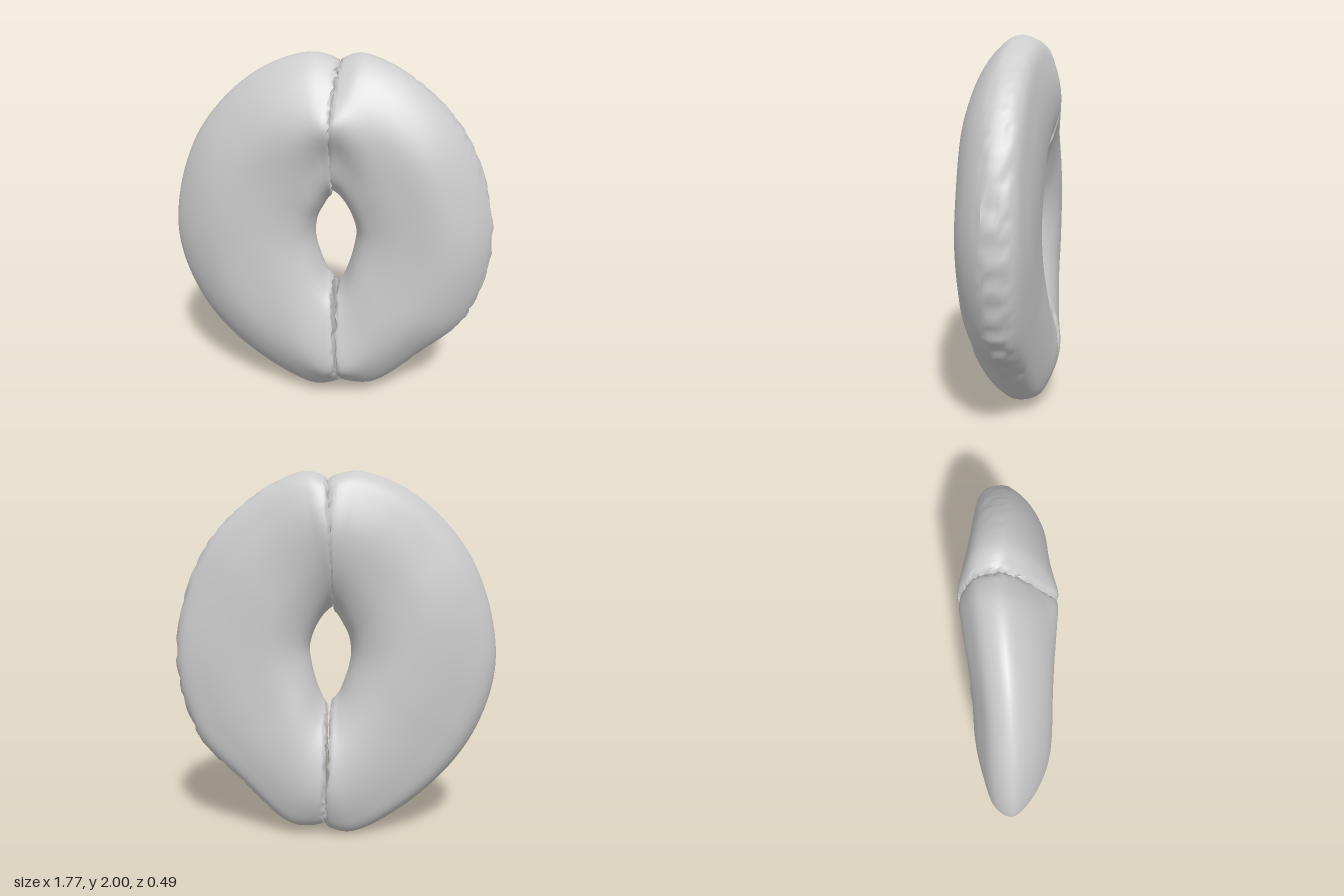
import * as THREE from 'three';
import { toCreasedNormals } from 'three/addons/utils/BufferGeometryUtils.js';

const path = (pts) => new THREE.CatmullRomCurve3(pts.map(([x, y]) => new THREE.Vector3(x, y, 0)));
const loop = (pts) => new THREE.CatmullRomCurve3(pts.map(([u, z]) => new THREE.Vector3(u, z, 0)), true);

// Cross-sections from hole edge over the front to the rim and round the back: [inner-to-outer, z]
const midSection = loop([[0, 0], [0.06, 0.11], [0.22, 0.175], [0.45, 0.2], [0.68, 0.185], [0.9, 0.09],
  [1, -0.01], [0.94, -0.095], [0.75, -0.155], [0.48, -0.195], [0.22, -0.18], [0.05, -0.1]]);
const blockySection = loop([[0, 0], [0.06, 0.11], [0.22, 0.175], [0.45, 0.2], [0.7, 0.19], [0.91, 0.1],
  [1, -0.0], [0.97, -0.115], [0.78, -0.17], [0.48, -0.195], [0.22, -0.18], [0.05, -0.1]]);
const topSection = loop([[0, 0], [0.1, 0.11], [0.34, 0.17], [0.57, 0.235], [0.74, 0.16], [0.93, 0.04],
  [1, -0.05], [0.95, -0.15], [0.8, -0.21], [0.57, -0.242], [0.3, -0.2], [0.08, -0.1]]);
const bottomSection = loop([[0, 0], [0.1, 0.12], [0.36, 0.2], [0.68, 0.228], [0.82, 0.15], [0.95, 0.04],
  [1, -0.05], [0.97, -0.15], [0.85, -0.21], [0.62, -0.245], [0.3, -0.2], [0.08, -0.1]]);

const hash = (a, b) => {
  const v = Math.sin(a * 12.9898 + b * 78.233) * 43758.5453;
  return v - Math.floor(v);
};

// One half ring, swept from the top seam to the bottom seam
function halfRing(name, inner, outer, section, side, rough) {
  const rings = 110, around = 72;
  const inCurve = path(inner), outCurve = path(outer);
  const pos = [], idx = [];
  for (let i = 0; i <= rings; i++) {
    const s = i / rings;
    const a = inCurve.getPoint(s), b = outCurve.getPoint(s);
    const w = THREE.MathUtils.smoothstep(Math.abs(s - 0.5) * 2, 0.3, 0.95);
    const endSection = s < 0.5 ? topSection : bottomSection;
    // Rounded shoulder where the halves meet
    const d = Math.min(1, Math.min(s, 1 - s) / 0.035);
    const shrink = 1 - 0.07 * (1 - Math.sqrt(1 - (1 - d) ** 2));
    for (let j = 0; j < around; j++) {
      const t = j / around;
      const p = section.getPoint(t).lerp(endSection.getPoint(t), w);
      const u = 0.5 + (p.x - 0.5) * shrink;
      const x = a.x + (b.x - a.x) * u, y = a.y + (b.y - a.y) * u;
      // Gentle dents in the surface, ragged rim and seam
      const dent = 1 + 0.02 * Math.sin(x * 9 + 1) * Math.sin(y * 7 + side);
      const rim = Math.abs(t - 0.53) < 0.05 ? rough * (hash(i, j >> 2) - 0.5) * (1 - w) : 0;
      const jag = (1 - d) * 0.02 * (hash(i + 7, j) - 0.5);
      pos.push(x + side * rim + jag, y, p.y * shrink * dent);
    }
  }
  const add = (p, q, r) => (side < 0 ? idx.push(p, q, r) : idx.push(p, r, q));
  const startCap = pos.length / 3, endCap = startCap + 1;
  for (const s of [0, 1]) {
    const c = inCurve.getPoint(s).lerp(outCurve.getPoint(s), 0.5);
    pos.push(c.x, c.y, 0);
  }
  const last = rings * around;
  for (let j = 0; j < around; j++) {
    const k = (j + 1) % around;
    for (let i = 0; i < rings; i++) {
      const r = i * around, n = r + around;
      add(r + j, r + k, n + j);
      add(r + k, n + k, n + j);
    }
    add(k, j, startCap);
    add(last + j, last + k, endCap);
  }
  const geo = new THREE.BufferGeometry();
  geo.setAttribute('position', new THREE.Float32BufferAttribute(pos, 3));
  geo.setIndex(idx);
  const mesh = new THREE.Mesh(toCreasedNormals(geo, 0.8),
    new THREE.MeshStandardMaterial({ color: 0xcccccc, roughness: 0.8 }));
  mesh.name = name;
  return mesh;
}

export function createModel() {
  const group = new THREE.Group();
  group.name = 'splitRing';
  group.add(halfRing('rightHalf',
    [[0.01, 1.25], [-0.01, 1.23], [-0.04, 1.18], [-0.07, 1.12], [-0.085, 1.03], [-0.075, 0.95],
      [-0.05, 0.87], [-0.02, 0.8], [0.02, 0.75]],
    [[0.04, 1.97], [-0.12, 2], [-0.42, 1.885], [-0.74, 1.54], [-0.885, 1], [-0.77, 0.57],
      [-0.49, 0.23], [-0.1, 0.005], [0.06, 0.04]],
    midSection, -1, 0));
  group.add(halfRing('leftHalf',
    [[0.01, 1.28], [0.05, 1.25], [0.09, 1.2], [0.125, 1.13], [0.145, 1.05], [0.135, 0.96],
      [0.11, 0.86], [0.08, 0.78], [0.05, 0.73]],
    [[0.04, 1.97], [0.16, 2], [0.43, 1.88], [0.73, 1.56], [0.88, 1.02], [0.77, 0.56],
      [0.53, 0.3], [0.25, 0.055], [0.065, 0.05]],
    blockySection, 1, 0.015));
  return group;
}
